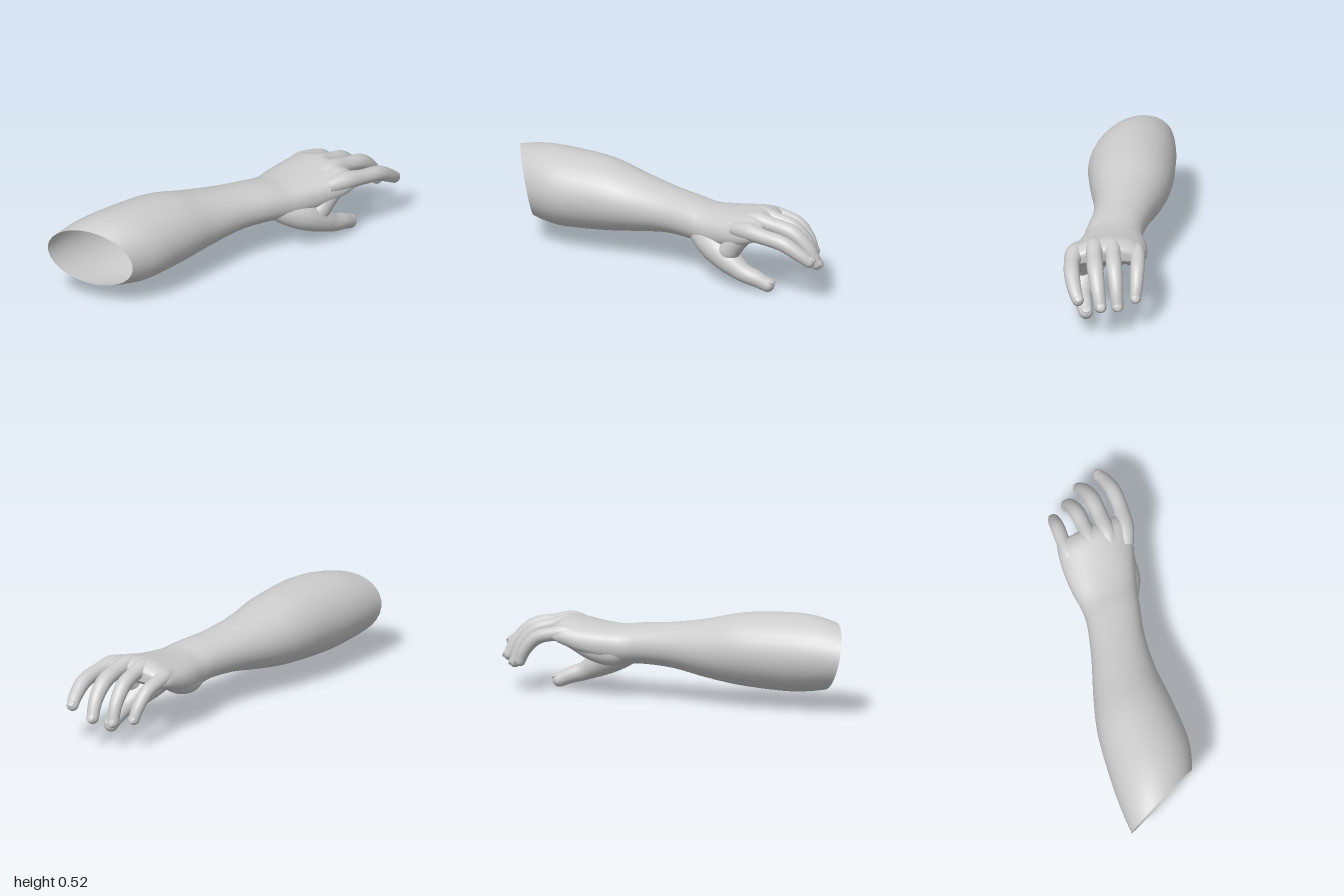
import * as THREE from 'three';

const SEG = 32;
const skin = new THREE.MeshStandardMaterial({ color: 0xcccccc, side: THREE.DoubleSide });

// Smoothly resample rows of numbers, with `steps` samples between neighbouring rows
function spline(rows, steps) {
  const out = [];
  const at = i => rows[Math.min(Math.max(i, 0), rows.length - 1)];
  for (let i = 0; i < rows.length - 1; i++) {
    for (let s = 0; s < steps; s++) {
      const t = s / steps;
      out.push(at(i).map((p1, k) => {
        const p0 = at(i - 1)[k], p2 = at(i + 1)[k], p3 = at(i + 2)[k];
        return p1 + 0.5 * t * (p2 - p0 + t * (2 * p0 - 5 * p1 + 4 * p2 - p3 + t * (3 * (p1 - p2) + p3 - p0)));
      }));
    }
  }
  out.push(at(rows.length - 1));
  return out;
}

// Skin a list of closed rings of SEG points each
function loft(name, rings) {
  const pos = [], index = [];
  rings.forEach(ring => ring.forEach(p => pos.push(p.x, p.y, p.z)));
  for (let i = 0; i < rings.length - 1; i++) {
    for (let j = 0; j < SEG; j++) {
      const k = (j + 1) % SEG;
      const a = i * SEG + j, b = i * SEG + k, c = a + SEG, d = b + SEG;
      index.push(a, c, b, c, d, b);
    }
  }
  const geo = new THREE.BufferGeometry();
  geo.setAttribute('position', new THREE.Float32BufferAttribute(pos, 3));
  geo.setIndex(index);
  geo.computeVertexNormals();
  const mesh = new THREE.Mesh(geo, skin);
  mesh.name = name;
  return mesh;
}

const angles = Array.from({ length: SEG }, (_, j) => (j / SEG) * Math.PI * 2);

// Round-tipped limb along rows of [x, y, z, radius]; wide stretches it sideways
function digit(name, rows, wide, nail) {
  const group = new THREE.Group();
  group.name = name;
  const pts = spline(rows, 7);
  const vec = r => new THREE.Vector3(r[0], r[1], r[2]);
  const rings = [];
  let t, side, up;
  const addRing = (c, r) => rings.push(angles.map(a => c.clone()
    .addScaledVector(side, Math.cos(a) * r * wide)
    .addScaledVector(up, Math.sin(a) * r)));
  pts.forEach((p, i) => {
    t = vec(pts[Math.min(i + 1, pts.length - 1)]).sub(vec(pts[Math.max(i - 1, 0)])).normalize();
    side = new THREE.Vector3(0, 0, 1).addScaledVector(t, -t.z).normalize();
    up = side.clone().cross(t);
    addRing(vec(p), p[3]);
  });
  const last = pts[pts.length - 1], end = vec(last), r = last[3];
  for (let k = 1; k <= 8; k++) {
    const a = (k / 8) * Math.PI / 2;
    addRing(end.clone().addScaledVector(t, r * Math.sin(a)), r * Math.cos(a) + 1e-5);
  }
  group.add(loft(name + 'Skin', rings));

  if (nail) {
    const plate = new THREE.Mesh(new THREE.SphereGeometry(1, 16, 10), skin);
    plate.name = name + 'Nail';
    plate.matrixAutoUpdate = true;
    plate.quaternion.setFromRotationMatrix(new THREE.Matrix4().makeBasis(t, up, side));
    plate.scale.set(r * 0.8, r * 0.28, r * 0.72);
    plate.position.copy(end).addScaledVector(up, r * 0.78).addScaledVector(t, r * 0.1);
    group.add(plate);
  }
  return group;
}

// Forearm, wrist and palm: [x, zMin, zMax, yMin, yMax, squareness]
function buildArm() {
  const sections = [
    [-0.905, -0.395, 0.055, 0.12, 0.485, 1],
    [-0.8, -0.39, 0.085, 0.105, 0.515, 1],
    [-0.65, -0.37, 0.115, 0.098, 0.525, 1],
    [-0.4, -0.32, 0.125, 0.115, 0.51, 1],
    [-0.2, -0.25, 0.127, 0.145, 0.465, 1],
    [0, -0.168, 0.152, 0.182, 0.43, 0.97],
    [0.18, -0.108, 0.205, 0.19, 0.411, 0.92],
    [0.29, -0.092, 0.24, 0.18, 0.396, 0.9],
    [0.4, -0.098, 0.28, 0.195, 0.402, 0.85],
    [0.5, -0.095, 0.32, 0.235, 0.418, 0.82],
    [0.59, -0.083, 0.355, 0.28, 0.432, 0.8],
    [0.64, -0.07, 0.355, 0.305, 0.42, 0.8],
    [0.67, -0.045, 0.34, 0.33, 0.395, 0.8],
    [0.675, 0.1, 0.2, 0.355, 0.375, 0.8],
  ];
  const bend = (v, e) => Math.sign(v) * Math.pow(Math.abs(v), e);
  const rings = spline(sections, 5).map(([x, z0, z1, y0, y1, e]) => {
    // The cut at the elbow runs slantwise, fading out along the forearm
    const w = Math.max(0, (-0.4 - x) / 0.505) ** 2;
    // The back of the hand arches over the middle knuckles
    const arch = THREE.MathUtils.smoothstep(x, 0.35, 0.6) * 0.03;
    return angles.map(a => {
      const c = bend(Math.cos(a), e), s = bend(Math.sin(a), e);
      return new THREE.Vector3(
        x + w * (0.095 * Math.cos(a) - 0.04 * Math.sin(a)),
        (y0 + y1) / 2 + s * (y1 - y0) / 2 - arch * c * c,
        (z0 + z1) / 2 + c * (z1 - z0) / 2);
    });
  });
  return loft('forearmAndPalm', rings);
}

export function createModel() {
  const model = new THREE.Group();
  model.name = 'forearmWithHand';
  model.add(buildArm());

  // Fingers, from knuckle to tip
  const fingers = {
    indexFinger: [[0.5, 0.345, 0.275, 0.04], [0.6, 0.355, 0.312, 0.05], [0.7, 0.345, 0.338, 0.042],
      [0.82, 0.325, 0.35, 0.042], [0.91, 0.275, 0.345, 0.037], [0.965, 0.236, 0.332, 0.032]],
    middleFinger: [[0.5, 0.36, 0.19, 0.04], [0.6, 0.385, 0.205, 0.051], [0.7, 0.375, 0.216, 0.043],
      [0.82, 0.347, 0.222, 0.044], [0.91, 0.27, 0.218, 0.038], [0.957, 0.186, 0.208, 0.033]],
    ringFinger: [[0.5, 0.36, 0.1, 0.04], [0.6, 0.383, 0.107, 0.05], [0.69, 0.372, 0.113, 0.041],
      [0.79, 0.34, 0.116, 0.042], [0.87, 0.255, 0.114, 0.036], [0.905, 0.164, 0.11, 0.032]],
    littleFinger: [[0.5, 0.34, -0.01, 0.038], [0.59, 0.352, -0.022, 0.046], [0.67, 0.345, -0.024, 0.039],
      [0.76, 0.318, -0.013, 0.038], [0.825, 0.25, -0.002, 0.034], [0.855, 0.186, 0.007, 0.03]],
  };
  for (const [name, rows] of Object.entries(fingers)) model.add(digit(name, rows, 1.02, true));

  // Thumb, swelling into the ball of the palm
  model.add(digit('thumb', [[0.2, 0.28, 0.12, 0.05], [0.29, 0.235, 0.165, 0.075], [0.38, 0.193, 0.21, 0.083],
    [0.47, 0.143, 0.245, 0.07], [0.55, 0.1, 0.265, 0.052], [0.63, 0.073, 0.265, 0.045],
    [0.69, 0.045, 0.26, 0.038]], 1.02, true));

  // Fold of skin between thumb and index finger
  model.add(digit('thumbWeb', [[0.4, 0.15, 0.23, 0.06], [0.455, 0.2, 0.255, 0.06],
    [0.505, 0.26, 0.27, 0.055], [0.57, 0.32, 0.29, 0.045]], 0.85, false));

  // Heel of the palm on the little finger side
  model.add(digit('palmHeel', [[0.26, 0.27, -0.01, 0.06], [0.34, 0.25, -0.015, 0.07],
    [0.44, 0.268, -0.02, 0.064], [0.55, 0.315, -0.022, 0.05]], 1, false));
  return model;
}
